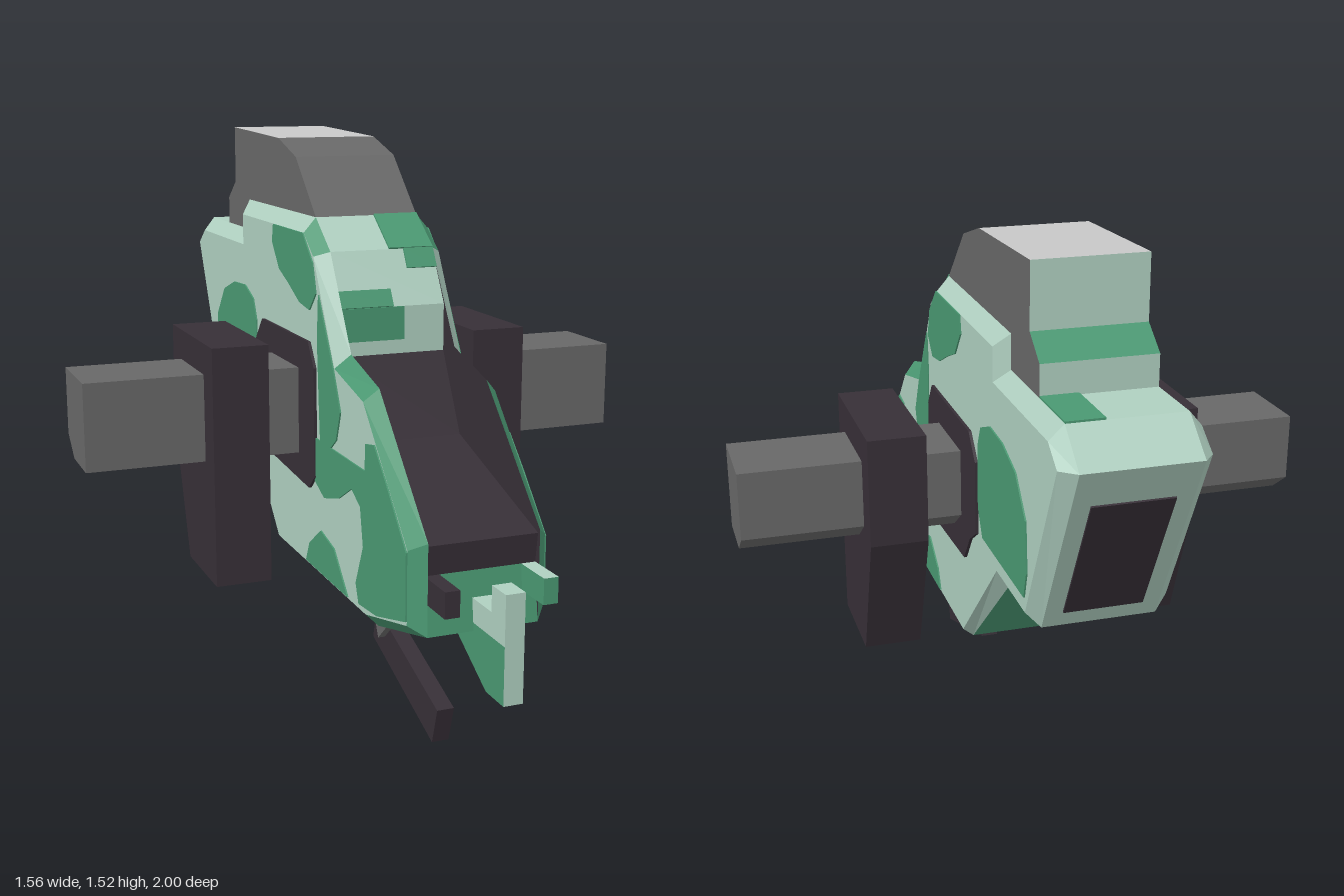
import * as THREE from 'three';

const material = (name, color) => {
  const m = new THREE.MeshStandardMaterial({ color });
  m.name = name;
  return m;
};

export function createModel() {
  const model = new THREE.Group();
  model.name = 'gunship';
  const pale = material('paleGreen', 0xafcfc0);
  const green = material('camoGreen', 0x4a9872);
  const gray = material('gray', 0x686868);
  const light = material('lightGray', 0xc8c8c8);
  const dark = material('darkPlum', 0x372f37);

  // Joins loop a at xa to loop b at xb (xa < xb). Points are [z, y], running nose, belly, tail, back.
  // sides: one material or one per edge; null cap leaves that end open.
  function loft(name, a, xa, b, xb, sides, capA, capB, parent = model) {
    const byMat = new Map();
    const tri = (mat, ...pts) => {
      if (!byMat.has(mat)) byMat.set(mat, []);
      for (const [x, p] of pts) byMat.get(mat).push(x, p[1], p[0]);
    };
    a.forEach((p, i) => {
      const j = (i + 1) % a.length;
      const mat = Array.isArray(sides) ? sides[i] : sides;
      tri(mat, [xa, p], [xa, a[j]], [xb, b[j]]);
      tri(mat, [xa, p], [xb, b[j]], [xb, b[i]]);
    });
    const cap = (loop, x, mat, flip) => {
      const flat = loop.map(([z, y]) => new THREE.Vector2(-z, y));
      for (const [i, j, k] of THREE.ShapeUtils.triangulateShape(flat, [])) {
        if (flip) tri(mat, [x, loop[i]], [x, loop[k]], [x, loop[j]]);
        else tri(mat, [x, loop[i]], [x, loop[j]], [x, loop[k]]);
      }
    };
    if (capA) cap(a, xa, capA, true);
    if (capB) cap(b, xb, capB, false);
    const geo = new THREE.BufferGeometry(), pos = [], mats = [];
    for (const [mat, list] of byMat) {
      geo.addGroup(pos.length / 3, list.length / 3, mats.length);
      mats.push(mat);
      for (const v of list) pos.push(v);
    }
    geo.setAttribute('position', new THREE.Float32BufferAttribute(pos, 3));
    geo.computeVertexNormals();
    const mesh = new THREE.Mesh(geo, mats);
    mesh.name = name;
    parent.add(mesh);
    return mesh;
  }
  const prism = (name, loop, x0, x1, mat, sides = mat) =>
    loft(name, loop, x0, loop, x1, sides, mat, mat);

  // Thin painted plate lying on the profile edge p to q, between fractions t0 and t1.
  function plate(name, p, q, t0, t1, x0, x1, mat) {
    const dz = q[0] - p[0], dy = q[1] - p[1], len = Math.hypot(dz, dy);
    const at = (t, h) => [p[0] + dz * t - dy / len * h, p[1] + dy * t + dz / len * h];
    prism(name, [at(t0, 0.005), at(t1, 0.005), at(t1, 0), at(t0, 0)], x0, x1, mat);
  }

  // Hull sides: bevelled slabs from the full outline to a smaller outer face
  const outline = [[0.84, 0.63], [0.84, 0.40], [0.54, 0.32], [-0.13, 0.32], [-0.5, 0.655], [-0.75, 0.655],
    [-1, 1.14], [-0.9, 1.22], [-0.5, 1.22], [-0.5, 1.31], [0.09, 1.31], [0.2, 1.23], [0.35, 0.985], [0.54, 0.935]];
  const inset = [[0.80, 0.605], [0.80, 0.42], [0.54, 0.355], [-0.15, 0.355], [-0.49, 0.69], [-0.73, 0.69],
    [-0.955, 1.135], [-0.89, 1.18], [-0.46, 1.18], [-0.46, 1.27], [0.09, 1.27], [0.165, 1.215], [0.32, 0.945], [0.52, 0.90]];
  const rim = [green, green, pale, pale, green, pale, pale, pale, pale, pale, green, pale, green, green];
  loft('leftHullSide', outline, 0.145, inset, 0.18, rim, dark, pale);
  loft('rightHullSide', inset, -0.18, outline, -0.145, rim, pale, dark);

  // Hull middle, with the cockpit cut down between the sides
  const core = [[0.83, 0.62], [0.82, 0.545], [0.84, 0.40], [0.54, 0.32], [-0.13, 0.32], [-0.5, 0.655], [-0.75, 0.655],
    [-1, 1.14], [-0.9, 1.22], [-0.5, 1.22], [-0.5, 1.31], [0.09, 1.31], [0.2, 1.23], [0.28, 1.09], [0.28, 0.965], [0.39, 0.76]];
  loft('hullMiddle', core, -0.145, core, 0.145,
    [dark, green, pale, dark, green, pale, pale, pale, pale, pale, pale, pale, pale, pale, dark, dark], null, null);
  plate('exhaustPanel', core[6], core[7], 0.1, 0.8, -0.1, 0.1, dark);
  plate('tailCamo', core[8], core[9], 0, 0.45, 0.05, 0.145, green);
  plate('browCamo', core[11], core[12], 0, 1, 0.02, 0.145, green);
  plate('brow2Camo', core[12], core[13], 0, 0.35, 0.06, 0.145, green);
  plate('brow3Camo', core[12], core[13], 0.7, 1, -0.145, 0, green);
  plate('browLowerCamo', core[13], core[14], 0, 0.7, -0.145, 0.03, green);

  // Camouflage patches on both hull sides
  const patches = [
    [[-0.33, 0.97], [-0.33, 0.80], [-0.37, 0.73], [-0.73, 0.73], [-0.75, 0.80], [-0.74, 0.93], [-0.66, 1.02],
      [-0.55, 1.055], [-0.44, 1.06], [-0.36, 1.03]],
    [[0.165, 1.2], [0.19, 1.12], [0.14, 1.07], [0.06, 1.08], [-0.03, 1.12], [-0.11, 1.15], [-0.17, 1.22], [-0.16, 1.27],
      [0.09, 1.27]],
    [[0.32, 0.94], [0.37, 0.84], [0.34, 0.76], [0.3, 0.73], [0.22, 0.73], [0.21, 0.85], [0.2, 1.0], [0.21, 1.12]],
    [[0.8, 0.6], [0.8, 0.43], [0.62, 0.38], [0.5, 0.37], [0.48, 0.42], [0.53, 0.53], [0.51, 0.63], [0.45, 0.66],
      [0.36, 0.61], [0.25, 0.58], [0.15, 0.62], [0.15, 0.73], [0.54, 0.73], [0.545, 0.8], [0.6, 0.81], [0.68, 0.73]],
    [[0.42, 0.36], [0.1, 0.36], [0.13, 0.42], [0.22, 0.48], [0.32, 0.46]],
  ];
  for (const side of [-1, 1]) {
    const span = (a, b) => side > 0 ? [a, b] : [-b, -a];
    patches.forEach((p, i) => prism('camoPatch' + i, p, ...span(0.18, 0.184), green));

    // Wing root socket, wing beam and hanging pod
    prism('wingSocket', [[0.185, 0.92], [0.185, 0.62], [0.14, 0.58], [-0.2, 0.6], [-0.26, 0.68], [-0.32, 0.72],
      [-0.32, 0.92], [-0.26, 0.985], [0.14, 0.985]], ...span(0.18, 0.188), dark);
    prism('wingBeam', [[0.06, 0.9], [0.06, 0.66], [-0.1, 0.66], [-0.175, 0.715], [-0.175, 0.9]], ...span(0.15, 0.78), gray);
    prism('wingPod', [[0.145, 0.985], [0.145, 0.33], [-0.13, 0.33], [-0.26, 0.69], [-0.26, 0.985]],
      ...span(0.30, 0.455), dark);
  }

  // Engine hump on the back
  prism('engineHump', [[0.09, 1.31], [-0.5, 1.31], [-0.5, 1.22], [-0.72, 1.22], [-0.72, 1.30], [-0.645, 1.355],
    [-0.645, 1.52], [-0.22, 1.505], [-0.07, 1.46]], -0.145, 0.145, gray,
  [gray, gray, gray, pale, green, pale, light, gray, gray]);

  // Nose fin and the two stub guns
  prism('noseFinTop', [[1, 0.545], [1, 0.42], [0.8, 0.42], [0.8, 0.48], [0.93, 0.48], [0.93, 0.545]], -0.025, 0.025, pale);
  prism('noseFinBottom', [[1, 0.42], [1, 0.275], [0.91, 0.275], [0.74, 0.37], [0.8, 0.42]], -0.025, 0.025, green,
    [pale, green, green, green, green]);
  const stub = [[0.935, 0.545], [0.935, 0.48], [0.8, 0.48], [0.8, 0.545]];
  prism('leftStubGun', stub, 0.107, 0.145, green, [green, pale, pale, pale]);
  prism('rightStubGun', stub, -0.145, -0.107, dark);

  // Landing skid on its bent strut
  prism('skidStrut', [[0.40, 0.33], [0.36, 0.25], [0.27, 0.17], [0.25, 0.21], [0.31, 0.26], [0.34, 0.33]], -0.035, -0.012, gray);
  prism('landingSkid', [[0.62, 0.10], [0.59, 0], [0.185, 0.14], [0.21, 0.235]], -0.015, 0.032, dark);

  return model;
}
